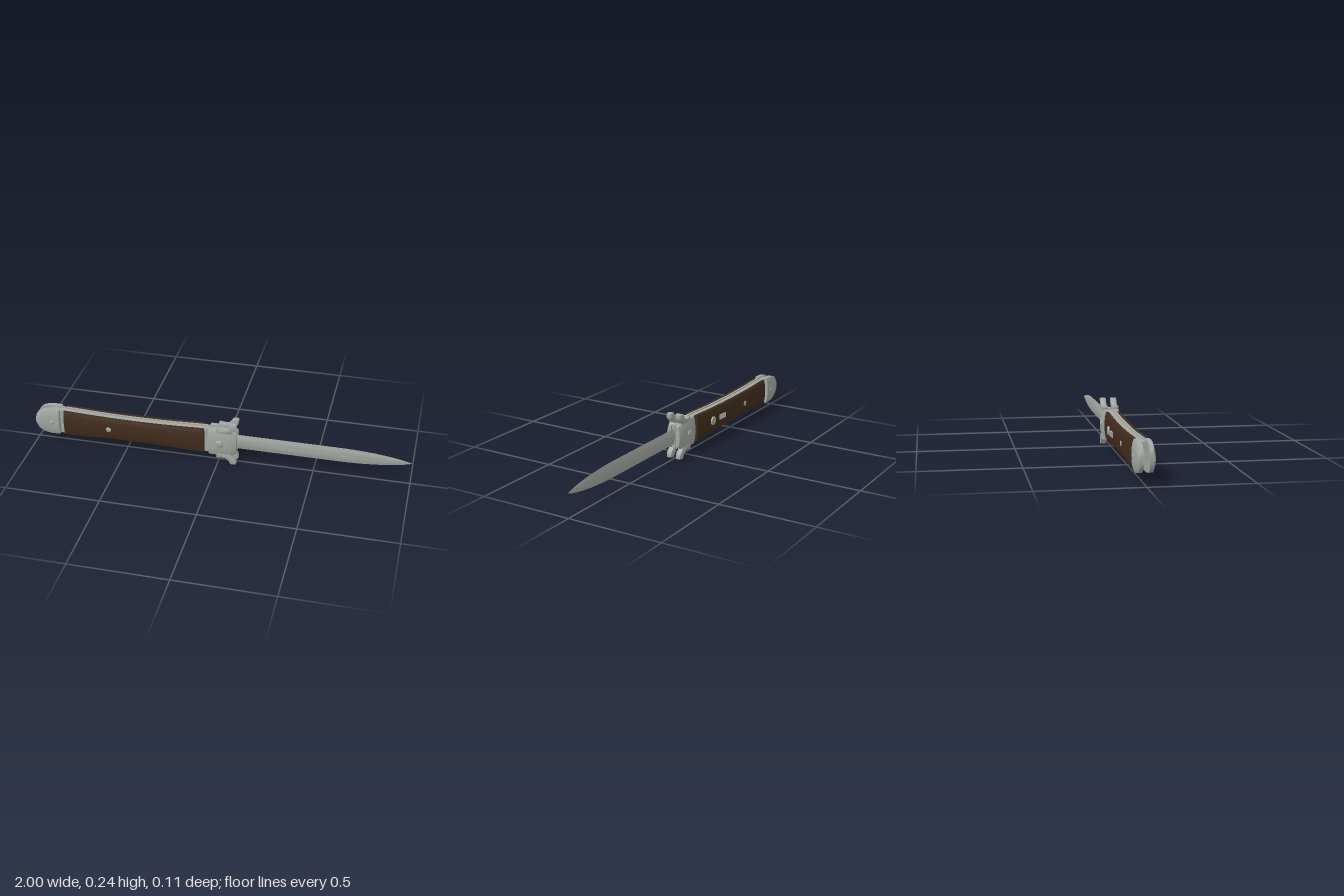
import * as THREE from 'three';
import { toCreasedNormals } from 'three/addons/utils/BufferGeometryUtils.js';

const steel = new THREE.MeshStandardMaterial({ color: 0xa3a8a2 });
steel.name = 'steel';
const wood = new THREE.MeshStandardMaterial({ color: 0x412d1c });
wood.name = 'dark wood';

function add(parent, name, geometry, material = steel) {
  const mesh = new THREE.Mesh(geometry, material);
  mesh.name = name;
  parent.add(mesh);
  return mesh;
}

// Solid skinned over rings of [y, z] points placed along x
function loft(sections, crease = 0.5) {
  const pos = [], index = [], n = sections[0].ring.length;
  for (const { x, ring } of sections) for (const [y, z] of ring) pos.push(x, y, z);
  for (let i = 0; i < sections.length - 1; i++) {
    for (let j = 0; j < n; j++) {
      const a = i * n + j, b = i * n + (j + 1) % n;
      index.push(a, b, b + n, a, b + n, a + n);
    }
  }
  const last = (sections.length - 1) * n;
  for (let j = 1; j < n - 1; j++) {
    index.push(0, j + 1, j, last, last + j, last + j + 1);
  }
  const g = new THREE.BufferGeometry();
  g.setAttribute('position', new THREE.Float32BufferAttribute(pos, 3));
  g.setIndex(index);
  return toCreasedNormals(g, crease);
}

// Half-handle ring: flat inside, crowned outside
function crowned(h, inner, edge, outer) {
  const ring = [[h, inner]];
  for (const t of [1, 0.93, 0.8, 0.6, 0.35, 0, -0.35, -0.6, -0.8, -0.93, -1]) {
    ring.push([h * t, edge + (outer - edge) * (1 - Math.abs(t) ** 2.6)]);
  }
  ring.push([-h, inner]);
  return ring;
}

const handleHeight = (x) => 0.06 + 0.0115 * ((x + 0.46) / 0.385) ** 2;
const handleXs = Array.from({ length: 17 }, (_, i) => -0.84 + i * 0.765 / 16);

// Flat strip that follows the handle outline
function strip(z0, z1, low, high) {
  return loft([-0.92, ...handleXs, 0.03].map((x) => {
    const h = Math.min(handleHeight(x), 0.07);
    return { x, ring: [[high(h), z0], [high(h), z1], [low(h), z1], [low(h), z0]] };
  }));
}

// Domed rivet head facing +z
function rivet(r, height) {
  const g = new THREE.SphereGeometry(r, 20, 6, 0, Math.PI * 2, 0, Math.PI / 2);
  return g.scale(1, height / r, 1).rotateX(Math.PI / 2);
}

function guardProng() {
  const s = new THREE.Shape();
  s.moveTo(-0.002, 0.062);
  s.lineTo(0.07, 0.062);
  s.quadraticCurveTo(0.078, 0.08, 0.092, 0.088);
  s.quadraticCurveTo(0.1, 0.098, 0.098, 0.119);
  s.quadraticCurveTo(0.082, 0.124, 0.068, 0.12);
  s.quadraticCurveTo(0.056, 0.097, 0.043, 0.088);
  s.quadraticCurveTo(0.02, 0.085, -0.004, 0.092);
  s.quadraticCurveTo(-0.012, 0.082, -0.002, 0.062);
  const g = new THREE.ExtrudeGeometry(s, {
    depth: 0.022, curveSegments: 6, bevelEnabled: true,
    bevelThickness: 0.0035, bevelSize: 0.003, bevelOffset: -0.003, bevelSegments: 2,
  });
  return toCreasedNormals(g.translate(0, 0, 0.0165), 0.7);
}

// One side of the handle, facing +z
function handleSide(name) {
  const side = new THREE.Group();
  side.name = name;

  add(side, 'liner', strip(0.01, 0.021, (h) => -h, (h) => h));

  add(side, 'gripScale', loft(handleXs.map((x, i) => {
    const inset = i === 0 || i === 16 ? 0.003 : 0;
    return { x, ring: crowned(handleHeight(x) - inset / 2, 0.021, 0.037 - inset, 0.046 - inset) };
  })), wood);

  const pommel = [[-1, 0.016, 0.036], [-0.995, 0.034, 0.039], [-0.983, 0.05, 0.042],
    [-0.965, 0.062, 0.044], [-0.94, 0.07, 0.045], [-0.91, 0.073, 0.046], [-0.866, 0.072, 0.046]];
  add(side, 'pommelCap', loft(pommel.map(([x, h, z]) => (
    { x, ring: crowned(h, 0.014, z - 0.01, z) }))));

  const bolster = [[-0.05, 0.072, 0.044], [-0.044, 0.073, 0.046], [0.066, 0.073, 0.046],
    [0.076, 0.067, 0.044], [0.086, 0.064, 0.041], [0.098, 0.056, 0.038]];
  add(side, 'bolster', loft(bolster.map(([x, h, z]) => (
    { x, ring: crowned(h, 0.013, z - 0.009, z) }))));

  const prong = guardProng();
  add(side, 'upperGuardProng', prong);
  // Lower prong is the upper one turned over and moved back to this side
  const lower = add(side, 'lowerGuardProng', prong);
  lower.rotation.x = Math.PI;
  lower.position.z = 0.055;

  for (const [pin, x, r, z, height] of [['pommelPin', -0.905, 0.012, 0.045, 0.006],
    ['gripPin', -0.59, 0.015, 0.045, 0.005], ['pivotRivet', 0.01, 0.021, 0.045, 0.009]]) {
    add(side, pin, rivet(r, height)).position.set(x, 0, z);
  }
  return side;
}

export function createModel() {
  const knife = new THREE.Group();
  knife.name = 'foldingKnife';
  knife.position.y = 0.1245;

  const front = handleSide('frontHandleSide');
  const back = handleSide('backHandleSide');
  back.rotation.x = Math.PI;
  knife.add(front, back);

  // Spring along the top of the slot between the liners
  add(knife, 'backSpring', strip(-0.01, 0.01, () => 0.02, (h) => h - 0.005));

  // Release button and safety slide on the back
  const button = new THREE.CylinderGeometry(0.022, 0.025, 0.008, 12).rotateX(-Math.PI / 2);
  add(knife, 'releaseButton', toCreasedNormals(button, 0.3)).position.set(-0.232, 0, -0.048);
  add(knife, 'safetySlide', new THREE.BoxGeometry(0.062, 0.026, 0.008)).position.set(-0.332, 0, -0.048);
  for (let i = -2; i <= 2; i++) {
    add(knife, 'slideRidge', new THREE.BoxGeometry(0.006, 0.024, 0.004))
      .position.set(-0.332 + i * 0.011, 0, -0.052);
  }

  // Blade: lens-shaped section narrowing to a point
  const blade = [[0.085, 0.042, 0.0095], [0.3, 0.042, 0.008], [0.55, 0.042, 0.007],
    [0.67, 0.0415, 0.0065], [0.74, 0.039, 0.006], [0.81, 0.034, 0.0055], [0.87, 0.0275, 0.005],
    [0.92, 0.02, 0.004], [0.96, 0.012, 0.003], [0.985, 0.005, 0.002], [1, 0.0005, 0.0005]];
  add(knife, 'blade', loft(blade.map(([x, h, t]) => ({
    x,
    ring: [[h, 0], [h * 0.55, t * 0.58], [h * 0.2, t * 0.93], [-h * 0.2, t * 0.93], [-h * 0.55, t * 0.58],
      [-h, 0], [-h * 0.55, -t * 0.58], [-h * 0.2, -t * 0.93], [h * 0.2, -t * 0.93], [h * 0.55, -t * 0.58]],
  })), 0.4));

  // Blade root and stop pin between the bolsters
  add(knife, 'bladeTang', new THREE.BoxGeometry(0.13, 0.122, 0.019)).position.set(0.03, -0.001, 0);
  const stop = new THREE.CylinderGeometry(0.008, 0.008, 0.03, 12).rotateX(Math.PI / 2);
  add(knife, 'stopPin', toCreasedNormals(stop, 0.7)).position.set(0.085, 0.062, 0);

  const model = new THREE.Group();
  model.name = 'model';
  model.add(knife);
  return model;
}
